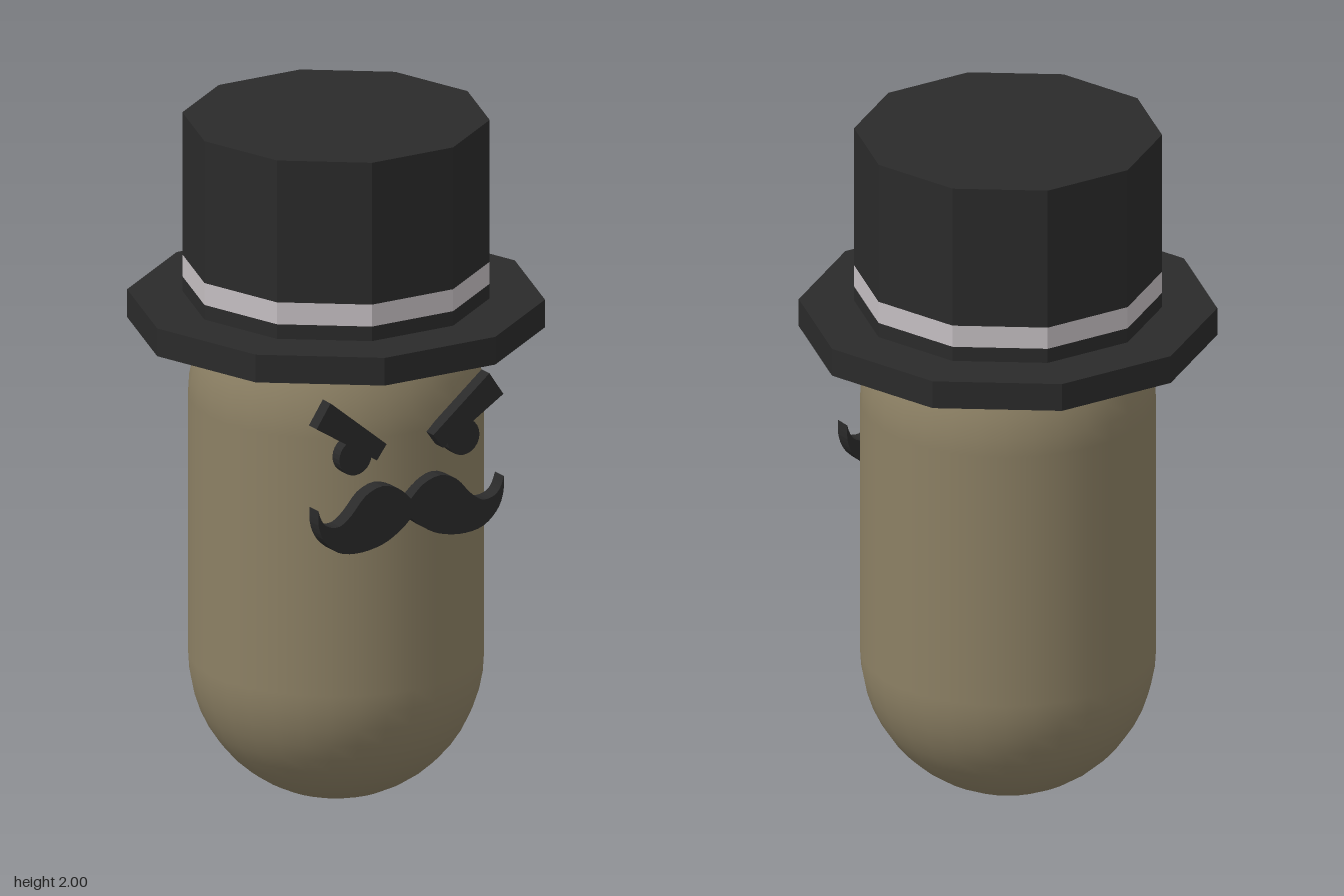
import * as THREE from 'three';

const BODY_R = 0.417;
const FACE_X = -0.031; // the face sits slightly off the body's axis

const skin = new THREE.MeshStandardMaterial({ color: 0x8c8064 });
const dark = new THREE.MeshStandardMaterial({ color: 0x2a2a2a, flatShading: true });
const ribbon = new THREE.MeshStandardMaterial({ color: 0xc4bec1, flatShading: true });

function add(parent, name, geometry, material) {
  const mesh = new THREE.Mesh(geometry, material);
  mesh.name = name;
  parent.add(mesh);
  return mesh;
}

// Ten-sided slab between two heights, with corners on the x axis
function decagon(radius, y0, y1) {
  return new THREE.CylinderGeometry(radius, radius, y1 - y0, 10)
    .rotateY(Math.PI / 2)
    .translate(0, (y0 + y1) / 2, 0);
}

// Flat plate cut from a shape, from z0 to z1
function plate(shape, z0, z1) {
  return new THREE.ExtrudeGeometry(shape, { depth: z1 - z0, bevelEnabled: false, curveSegments: 32 })
    .translate(0, 0, z0);
}

const vec = (points) => points.map(([x, y]) => new THREE.Vector2(x, y));

// Symmetrical moustache from the upper and lower curves of one half
function moustacheShape() {
  const upper = [[0, 1.0], [0.04, 1.036], [0.095, 1.053], [0.15, 1.033], [0.195, 0.985],
    [0.235, 0.957], [0.275, 0.963], [0.295, 0.985], [0.306, 1.015]];
  const lower = [[0.306, 1.015], [0.304, 0.965], [0.283, 0.917], [0.235, 0.878],
    [0.165, 0.868], [0.09, 0.882], [0.035, 0.912], [0, 0.942]];
  const half = [upper, lower].flatMap((pts) => new THREE.SplineCurve(vec(pts)).getPoints(24).slice(0, -1));
  half.push(new THREE.Vector2(0, 0.942));
  const mirrored = half.slice(1, -1).reverse().map((p) => new THREE.Vector2(-p.x, p.y));
  return new THREE.Shape([...half, ...mirrored]);
}

export function createModel() {
  const model = new THREE.Group();
  model.name = 'gentleman';

  // Body: smooth capsule whose top is hidden in the hat
  const body = new THREE.CapsuleGeometry(BODY_R, 0.763, 12, 32);
  body.translate(0, BODY_R + 0.763 / 2, 0);
  add(model, 'body', body, skin);

  // Top hat: brim, crown and band
  const hat = new THREE.Group();
  hat.name = 'topHat';
  model.add(hat);
  add(hat, 'brim', decagon(0.59, 1.39, 1.472), dark);
  add(hat, 'crownBase', decagon(0.434, 1.472, 1.515), dark);
  add(hat, 'hatBand', decagon(0.434, 1.515, 1.58), ribbon);
  add(hat, 'crown', decagon(0.434, 1.58, 2), dark);

  // Face: flat plates in front of the body
  const face = new THREE.Group();
  face.name = 'face';
  face.position.x = FACE_X;
  model.add(face);
  add(face, 'moustache', plate(moustacheShape(), 0.408, 0.456), dark);

  for (const [side, s] of [['left', 1], ['right', -1]]) {
    const corners = vec([[0.262, 1.325], [0.308, 1.256], [0.109, 1.13], [0.077, 1.173]]
      .map(([x, y]) => [s * x, y]));
    add(face, side + 'Eyebrow', plate(new THREE.Shape(corners), 0.408, 0.45), dark);

    const eye = new THREE.CylinderGeometry(0.053, 0.053, 0.038, 24).rotateX(Math.PI / 2);
    add(face, side + 'Eye', eye, dark).position.set(s * 0.178, 1.15, 0.428);
  }

  return model;
}
